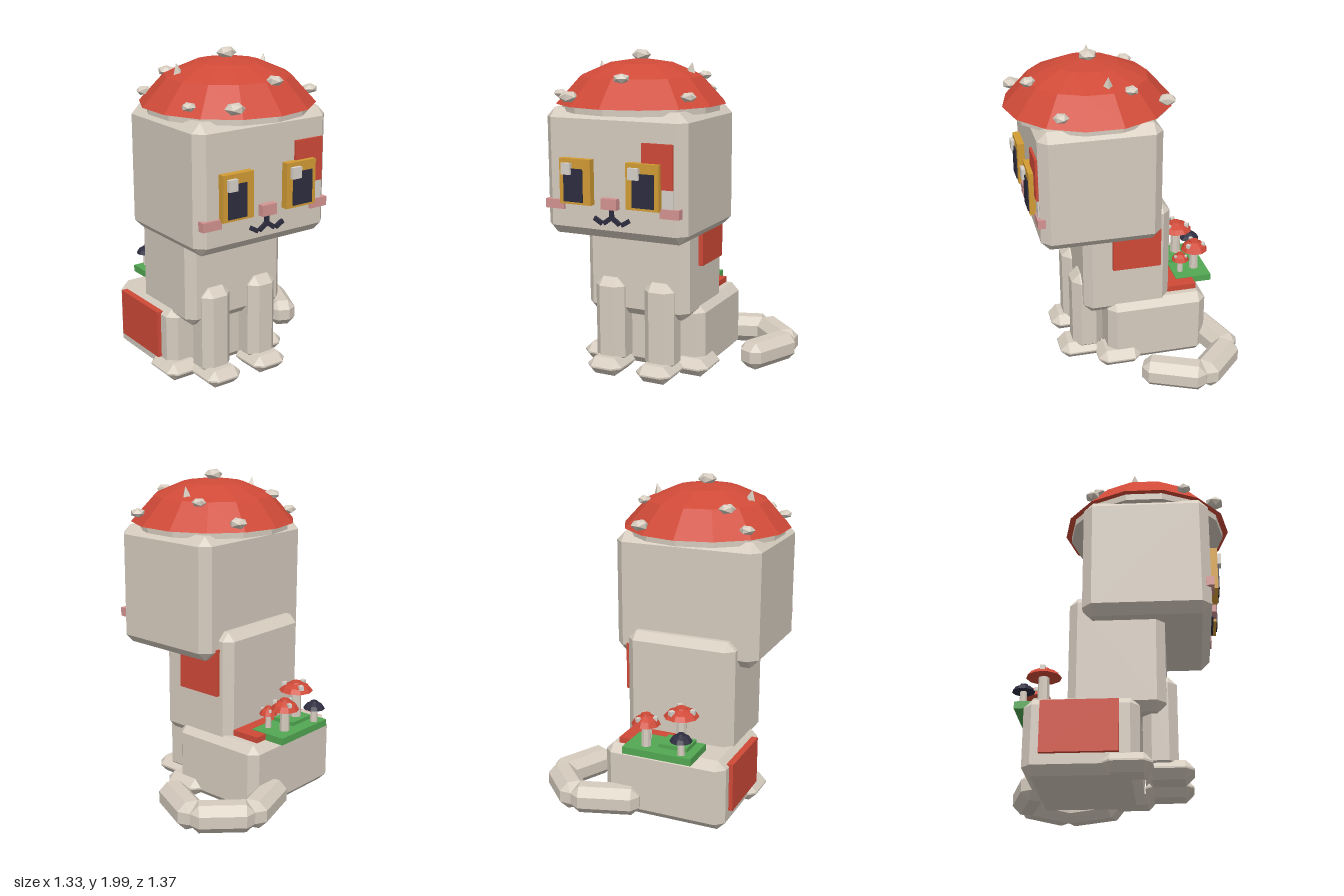
import * as THREE from 'three';
import { ConvexGeometry } from 'three/addons/geometries/ConvexGeometry.js';

const paint = (name, color, side = THREE.FrontSide) => {
  const m = new THREE.MeshStandardMaterial({ color, flatShading: true, side });
  m.name = name;
  return m;
};

export function createModel() {
  const cream = paint('cream', 0xd6ccbf);
  const red = paint('red', 0xd04a38, THREE.DoubleSide);
  const amber = paint('amber', 0xd39c35);
  const dark = paint('dark', 0x2d2d40, THREE.DoubleSide);
  const pink = paint('pink', 0xd49492);
  const green = paint('green', 0x53a853);
  const pale = paint('pale', 0xd8d2ca);

  const model = new THREE.Group();
  const CX = -0.167, CZ = 0.17; // middle of the head and cap

  const add = (name, geometry, material, parent = model) => {
    const mesh = new THREE.Mesh(geometry, material);
    mesh.name = name;
    parent.add(mesh);
    return mesh;
  };

  // Plain box from its limits
  const box = (name, mat, x0, x1, y0, y1, z0, z1, parent = model) => {
    const m = add(name, new THREE.BoxGeometry(x1 - x0, y1 - y0, z1 - z0), mat, parent);
    m.position.set((x0 + x1) / 2, (y0 + y1) / 2, (z0 + z1) / 2);
    return m;
  };

  // Box with every edge cut at 45 degrees
  const chamferGeometry = (w, h, d, c) => {
    const pts = [];
    for (const sx of [-1, 1]) for (const sy of [-1, 1]) for (const sz of [-1, 1]) {
      const x = w / 2, y = h / 2, z = d / 2;
      pts.push(
        new THREE.Vector3(sx * x, sy * (y - c), sz * (z - c)),
        new THREE.Vector3(sx * (x - c), sy * y, sz * (z - c)),
        new THREE.Vector3(sx * (x - c), sy * (y - c), sz * z));
    }
    return new ConvexGeometry(pts);
  };
  const block = (name, x0, x1, y0, y1, z0, z1, c = 0.05) => {
    const m = add(name, chamferGeometry(x1 - x0, y1 - y0, z1 - z0, c), cream);
    m.position.set((x0 + x1) / 2, (y0 + y1) / 2, (z0 + z1) / 2);
    return m;
  };

  // Body
  block('head', -0.625, 0.29, 0.92, 1.67, -0.19, 0.545, 0.055);
  block('torso', -0.512, 0.177, 0.38, 1.09, -0.272, 0.275);
  block('haunches', -0.555, 0.217, 0.01, 0.45, -0.508, 0.13);

  // Legs and feet, mirrored about the body's middle
  for (const s of [-1, 1]) {
    const leg = CX + s * 0.168, hind = CX + s * 0.315;
    block('frontLeg', leg - 0.099, leg + 0.099, 0.06, 0.615, 0.14, 0.335);
    block('frontFoot', leg - 0.118, leg + 0.118, 0.01, 0.12, 0.14, 0.42);
    block('hindFoot', hind - 0.118, hind + 0.118, 0.01, 0.12, -0.08, 0.2);
  }

  // Tail curling round to the side
  const tail = [
    [-0.02, -0.49, 0.38, -0.617],
    [0.345, -0.625, 0.61, -0.36],
    [0.605, -0.395, 0.44, -0.03],
  ];
  for (const [x0, z0, x1, z1] of tail) {
    const seg = add('tailSegment', chamferGeometry(Math.hypot(x1 - x0, z1 - z0), 0.172, 0.176, 0.05), cream);
    seg.position.set((x0 + x1) / 2, 0.115, (z0 + z1) / 2);
    seg.rotation.y = Math.atan2(z0 - z1, x1 - x0);
  }

  // Fur patches
  box('facePatch', red, 0.03, 0.225, 1.243, 1.5, 0.53, 0.56);
  box('paleFacePatch', pale, 0.03, 0.225, 1.13, 1.243, 0.53, 0.553);
  box('torsoPatch', red, 0.17, 0.205, 0.7, 0.99, -0.2, 0.1);
  box('haunchPatch', red, -0.58, -0.54, 0.12, 0.417, -0.41, 0.02);
  box('backPatch', red, -0.2, 0.13, 0.44, 0.486, -0.458, -0.2);

  // Eyes
  const eyes = [
    { frame: [-0.49, -0.285], pupil: [-0.46, -0.335], glint: [-0.467, -0.407] },
    { frame: [-0.055, 0.153], pupil: [-0.012, 0.125], glint: [-0.03, 0.035] },
  ];
  for (const e of eyes) {
    box('eyeFrame', amber, ...e.frame, 1.12, 1.387, 0.53, 0.589);
    box('pupil', dark, ...e.pupil, 1.135, 1.33, 0.58, 0.597);
    box('eyeGlint', pale, ...e.glint, 1.295, 1.362, 0.58, 0.612);
  }

  // Nose, cheeks and mouth
  box('nose', pink, -0.22, -0.12, 1.105, 1.17, 0.53, 0.585);
  box('cheek', pink, -0.605, -0.48, 1.08, 1.135, 0.515, 0.562);
  box('cheek', pink, 0.145, 0.265, 1.08, 1.135, 0.515, 0.562);
  const stroke = (x0, y0, x1, y1) => {
    const m = add('mouthStroke', new THREE.BoxGeometry(Math.hypot(x1 - x0, y1 - y0), 0.026, 0.03), dark);
    m.position.set(CX + (x0 + x1) / 2, (y0 + y1) / 2, 0.546);
    m.rotation.z = Math.atan2(y1 - y0, x1 - x0);
  };
  stroke(0, 1.105, 0, 1.04);
  for (const s of [-1, 1]) {
    stroke(0, 1.055, s * 0.052, 1.018);
    stroke(s * 0.064, 1.016, s * 0.114, 1.045);
  }

  // Mushroom cap on the head
  const profile = (pts) => pts.map(([r, y]) => new THREE.Vector2(r, y));
  const cap = add('cap', new THREE.LatheGeometry(
    profile([[0.46, 1.687], [0.51, 1.687], [0.365, 1.845], [0.19, 1.92], [0, 1.948]]), 14), red);
  cap.position.set(CX, 0, CZ);
  const gills = add('capUnderside', new THREE.CylinderGeometry(0.475, 0.475, 0.045, 14), cream);
  gills.position.set(CX, 1.67, CZ);

  // Warts on the cap: x, y, z, radius
  const warts = [
    [-0.168, 1.965, 0.165, 0.058], [0.08, 1.74, -0.255, 0.056], [0.16, 1.845, -0.02, 0.044],
    [0.25, 1.75, 0.405, 0.047], [-0.105, 1.85, 0.53, 0.05], [-0.415, 1.742, 0.59, 0.058],
    [-0.585, 1.742, 0.405, 0.043], [-0.535, 1.74, -0.14, 0.047], [-0.4, 1.845, -0.11, 0.051],
  ];
  warts.forEach(([x, y, z, r], i) => {
    const w = add('wart', new THREE.IcosahedronGeometry(r, 0), cream);
    w.position.set(x, y, z);
    w.scale.y = 0.62;
    w.rotation.y = i * 1.3;
  });

  // Little ear tips
  for (const s of [-1, 1]) {
    const ear = add('earTip', new THREE.ConeGeometry(0.036, 0.075, 4), cream);
    ear.position.set(CX + s * 0.298, 1.89, 0.11);
    ear.rotation.z = -s * 0.2;
  }

  // Grass patch on the back
  box('grass', green, -0.385, 0.05, 0.447, 0.49, -0.585, -0.35);
  box('grassTuft', green, -0.33, -0.15, 0.485, 0.513, -0.505, -0.36);

  // Small mushrooms growing from the grass
  const mushroom = (x, z, r, y0, y1, mat, spotTurn) => {
    const g = new THREE.Group();
    g.name = 'mushroom';
    g.position.set(x, 0, z);
    model.add(g);
    const h = y1 - y0;
    const stem = add('stem', new THREE.CylinderGeometry(r * 0.3, r * 0.36, y0 - 0.47, 8), cream, g);
    stem.position.y = (y0 + 0.47) / 2;
    add('mushroomCap', new THREE.LatheGeometry(
      profile([[0, y0], [r, y0], [r * 0.78, y0 + h * 0.5], [r * 0.36, y0 + h * 0.85], [r * 0.32, y1], [0, y1]]), 10), mat, g);
    if (spotTurn === undefined) return;
    for (let i = 0; i < 3; i++) {
      const a = spotTurn + i * Math.PI * 2 / 3;
      const spot = add('spot', new THREE.BoxGeometry(r * 0.27, r * 0.27, r * 0.27), pale, g);
      spot.position.set(Math.sin(a) * r * 0.68, y0 + h * 0.62, Math.cos(a) * r * 0.68);
      spot.rotation.y = a;
    }
  };
  mushroom(-0.265, -0.437, 0.105, 0.68, 0.735, red, 0.55);
  mushroom(-0.07, -0.505, 0.087, 0.625, 0.69, red, 0.6);
  mushroom(-0.04, -0.403, 0.056, 0.575, 0.625, red, 0.4);
  mushroom(-0.31, -0.545, 0.067, 0.575, 0.622, dark);

  return model;
}
